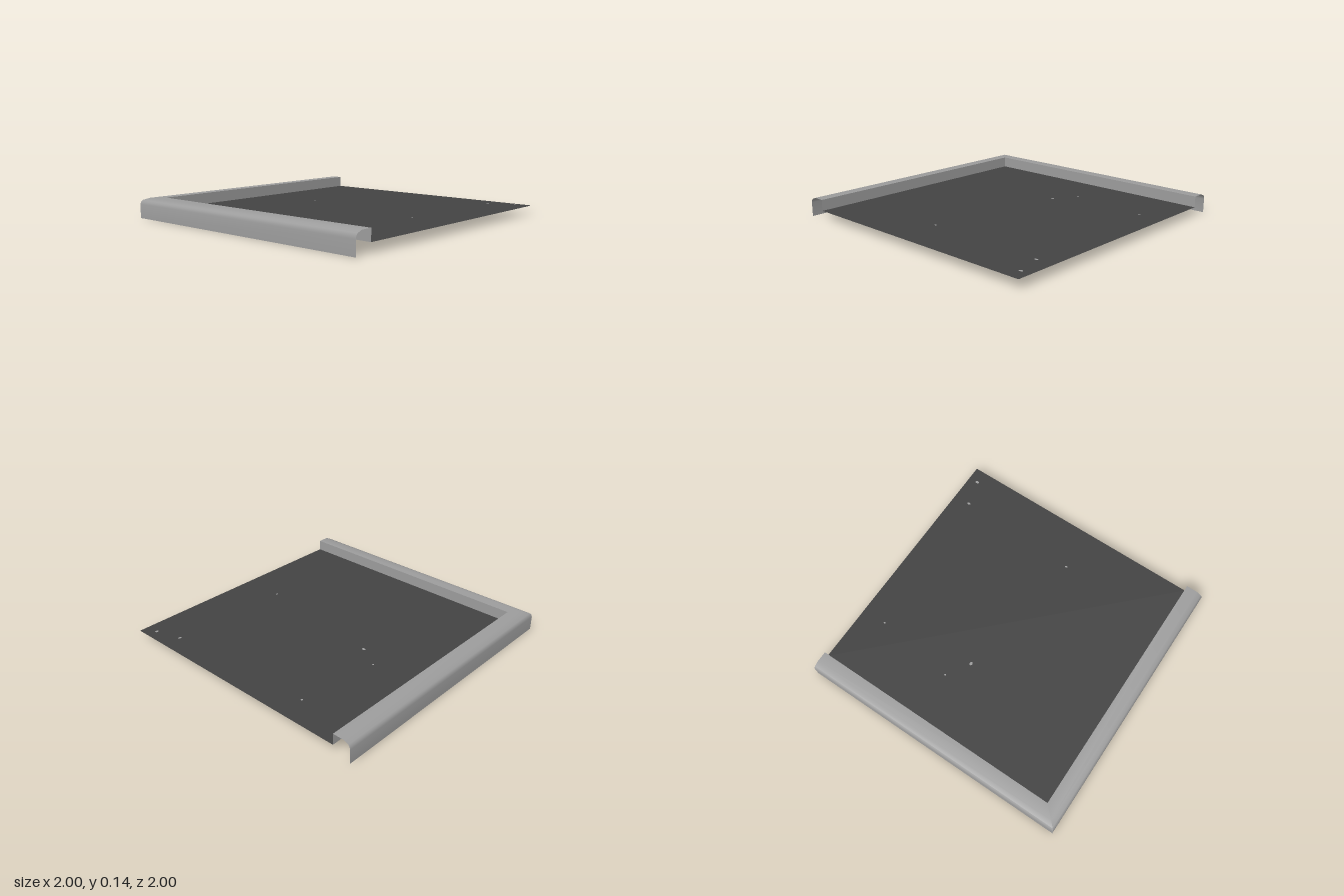
import * as THREE from 'three';
import { toCreasedNormals } from 'three/addons/utils/BufferGeometryUtils.js';

const FLOOR_Y = 0.065;
const CURB_WIDTH = 0.13;

// Curb cross-section: [inset from the outer edge, height]
const PROFILE = [
  [0, 0], [0, 0.1], [0.004, 0.118], [0.014, 0.131], [0.05, 0.145],
  [CURB_WIDTH, 0.145], [CURB_WIDTH, FLOOR_Y],
];

// Sweeps the open profile along two edges, mitred at the back right corner
function curbGeometry() {
  const rows = PROFILE.map(([d, y]) => [
    [-1 + d, y, 1], [-1 + d, y, -1 + d], [1, y, -1 + d],
  ]);
  const positions = [];
  for (let i = 0; i < rows.length - 1; i++) {
    for (let j = 0; j < 2; j++) {
      const a = rows[i][j], b = rows[i + 1][j];
      const c = rows[i][j + 1], d = rows[i + 1][j + 1];
      positions.push(...a, ...b, ...c, ...c, ...b, ...d);
    }
  }
  const geometry = new THREE.BufferGeometry();
  geometry.setAttribute('position', new THREE.Float32BufferAttribute(positions, 3));
  geometry.computeVertexNormals();
  return toCreasedNormals(geometry, 0.58);
}

export function createModel() {
  const asphalt = new THREE.MeshStandardMaterial({ color: 0x434343, side: THREE.DoubleSide });
  asphalt.name = 'dark asphalt';
  const concrete = new THREE.MeshStandardMaterial({ color: 0x9d9d9d, side: THREE.DoubleSide });
  concrete.name = 'grey concrete';

  const group = new THREE.Group();
  group.name = 'cornerTile';
  const add = (name, geometry, material, x = 0, y = 0, z = 0) => {
    const mesh = new THREE.Mesh(geometry, material);
    mesh.name = name;
    mesh.position.set(x, y, z);
    group.add(mesh);
  };

  // Rounded hollow curb along the right and back edges
  add('curb', curbGeometry(), concrete);

  // Thin ground sheet inside the curb
  const size = 2 - CURB_WIDTH;
  add('ground', new THREE.PlaneGeometry(size, size).rotateX(-Math.PI / 2), asphalt,
    CURB_WIDTH / 2, FLOOR_Y, CURB_WIDTH / 2);

  // Pale grit specks on the ground: [x, z, width, depth]
  const specks = [
    [0.115, -0.345, 0.022, 0.03], [0.22, -0.515, 0.014, 0.014],
    [0.815, -0.44, 0.016, 0.014], [-0.04, 0.675, 0.018, 0.014],
    [0.873, 0.708, 0.028, 0.018], [0.927, 0.9, 0.03, 0.02],
  ];
  for (const [x, z, w, d] of specks) {
    add('gritSpeck', new THREE.CircleGeometry(0.5, 8).rotateX(-Math.PI / 2).scale(w, 1, d),
      concrete, x, FLOOR_Y + 0.002, z);
  }
  return group;
}
